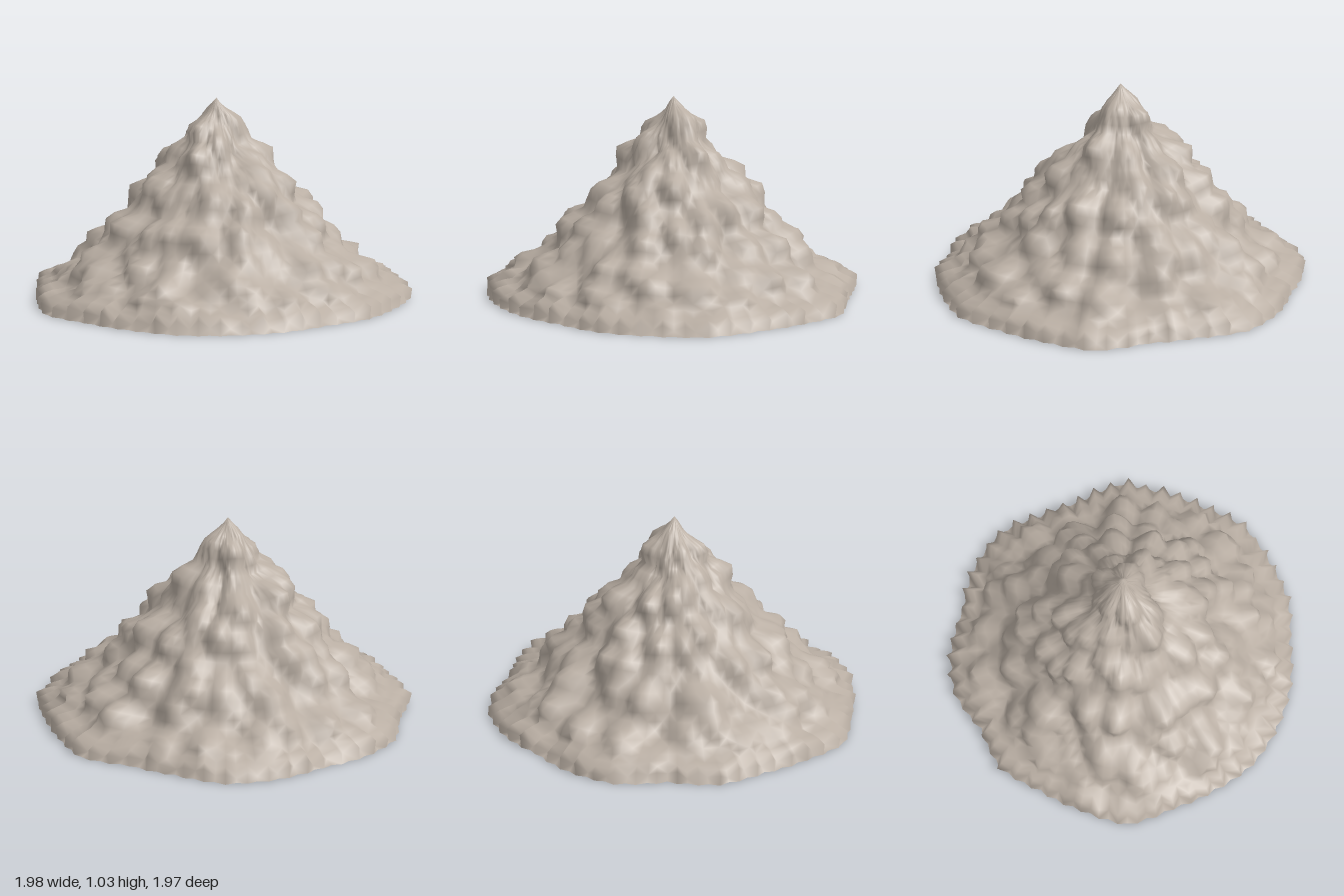
import * as THREE from 'three';

const SEGS = 120, RINGS = 30;
const { lerp, smoothstep } = THREE.MathUtils;

// Outer slope as radius, height
const profile = [[0, 1.03], [0.08, 0.96], [0.17, 0.88], [0.24, 0.78], [0.34, 0.68], [0.43, 0.57],
  [0.52, 0.46], [0.61, 0.36], [0.71, 0.26], [0.81, 0.17], [0.91, 0.1], [1, 0.04]];

// Footprint radius every 15 degrees, from the left side (+x) towards the front (+z)
const outline = [1, 0.96, 0.98, 0.99, 1, 0.98, 0.98, 1.03, 0.98, 0.96, 0.99, 0.94,
  1, 0.99, 0.96, 1, 1.02, 0.96, 0.95, 1.03, 1, 1, 1.04, 1.01];

// Repeatable hash in 0..1
function hash(i, j, k) {
  const s = Math.sin(i * 127.1 + j * 311.7 + k * 74.7) * 43758.5453;
  return s - Math.floor(s);
}

// Boulder field: near 0 at a stone's middle, growing towards its edge
function boulder(x, y, z, cell) {
  const p = [x / cell, y / cell, z / cell], b = p.map(Math.floor);
  let best = 9;
  for (let n = 0; n < 27; n++) {
    const i = b[0] + (n % 3) - 1, j = b[1] + (Math.floor(n / 3) % 3) - 1, k = b[2] + Math.floor(n / 9) - 1;
    const dx = i + hash(i, j, k) - p[0], dy = j + hash(j, k, i + 9) - p[1], dz = k + hash(k, i, j + 5) - p[2];
    best = Math.min(best, Math.hypot(dx, dy, dz));
  }
  return best;
}

function slope(t) {
  const s = t * (profile.length - 1), i = Math.min(Math.floor(s), profile.length - 2);
  return [0, 1].map((n) => lerp(profile[i][n], profile[i + 1][n], s - i));
}

function outlineAt(seg) {
  const s = (seg / SEGS) * outline.length, i = Math.floor(s);
  return lerp(outline[i], outline[(i + 1) % outline.length], s - i);
}

// Rocky slope: stones bulge outwards, the rim is notched
function point(ring, seg) {
  const a = (seg / SEGS) * Math.PI * 2, t = ring / RINGS;
  const [r0, y] = slope(t);
  const r = r0 * lerp(1, outlineAt(seg), t * t);
  const c = Math.cos(a), s = Math.sin(a);
  const rim = smoothstep(t, 0.82, 1), fade = Math.min(1, r / 0.2);
  const stone = boulder(c * r + 3, y + 5, s * r + 7, 0.17);
  const chip = hash(ring, seg >> 1, 4) - 0.5;
  const bulge = fade * (1 - rim) * (0.045 - 0.14 * stone + 0.012 * chip);
  const notch = rim * (seg % 2 ? 0.04 + 0.04 * hash(seg, 1, 6) : 0.025 * hash(seg, 2, 3));
  const radius = r + bulge - notch;
  const height = Math.max(0.015, y + bulge * 0.45 + rim * ((seg % 2 ? -0.02 : 0.02) + 0.03 * (hash(seg, 5, 2) - 0.5)));
  return [c * radius, height, s * radius];
}

// Edge where the slope meets the ground
function foot(seg) {
  const a = (seg / SEGS) * Math.PI * 2;
  const r = outlineAt(seg) - 0.012 - (seg % 2) * 0.015;
  return [Math.cos(a) * r, 0, Math.sin(a) * r];
}

function makeGeometry(pos, index) {
  const g = new THREE.BufferGeometry();
  g.setAttribute('position', new THREE.Float32BufferAttribute(pos, 3));
  g.setIndex(index);
  g.computeVertexNormals();
  return g;
}

// Peak, rings of stones, then the foot ring
function slopeGeometry() {
  const pos = [0, 1.03, 0], index = [];
  for (let ring = 1; ring <= RINGS + 1; ring++) {
    for (let s = 0; s < SEGS; s++) pos.push(...(ring > RINGS ? foot(s) : point(ring, s)));
  }
  const at = (ring, s) => 1 + (ring - 1) * SEGS + (s % SEGS);
  for (let s = 0; s < SEGS; s++) {
    index.push(0, at(1, s + 1), at(1, s));
    for (let ring = 1; ring <= RINGS; ring++) {
      const a = at(ring, s), b = at(ring, s + 1), c = at(ring + 1, s), d = at(ring + 1, s + 1);
      if ((ring + s) % 2) index.push(a, b, d, a, d, c);
      else index.push(a, b, c, b, d, c);
    }
  }
  return makeGeometry(pos, index);
}

// Flat underside as a fan
function undersideGeometry() {
  const pos = [0, 0, 0], index = [];
  for (let s = 0; s < SEGS; s++) {
    pos.push(...foot(s));
    index.push(0, 1 + s, 1 + ((s + 1) % SEGS));
  }
  return makeGeometry(pos, index);
}

export function createModel() {
  const group = new THREE.Group();
  group.name = 'rockMound';
  const stone = new THREE.MeshStandardMaterial({ color: 0xb9aea3 });
  stone.name = 'warm grey stone';
  for (const [name, geometry] of [['rockySlope', slopeGeometry()], ['underside', undersideGeometry()]]) {
    const mesh = new THREE.Mesh(geometry, stone);
    mesh.name = name;
    group.add(mesh);
  }
  return group;
}
